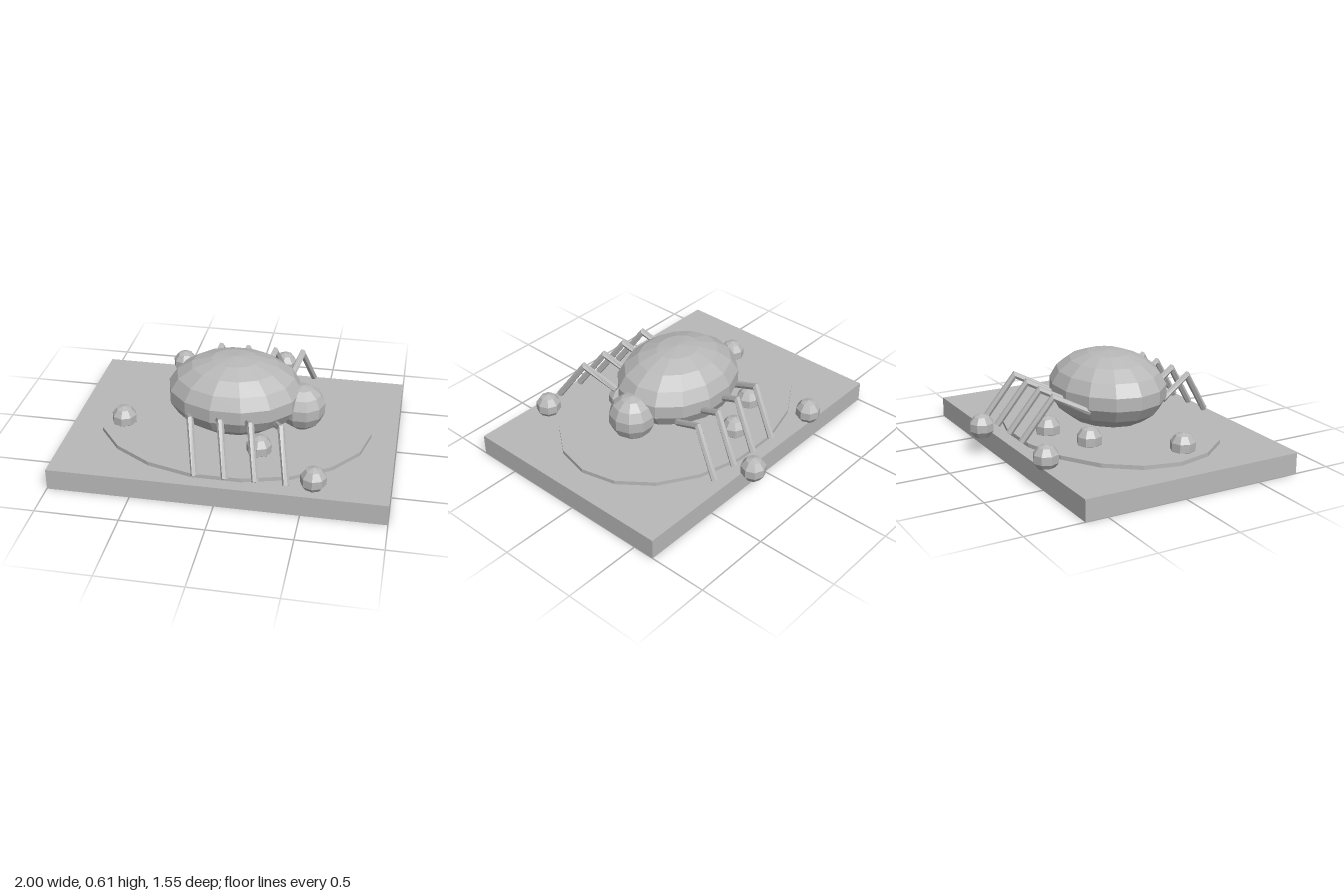
import * as THREE from 'three';

const CENTRE_Z = 0.067;
const grey = new THREE.MeshStandardMaterial({ color: 0xb8b8b8 });
grey.name = 'plain grey';

// Faceted mesh: every face gets its own normal
function part(name, geometry, parent) {
  const flat = geometry.index ? geometry.toNonIndexed() : geometry;
  flat.computeVertexNormals();
  const mesh = new THREE.Mesh(flat, grey);
  mesh.name = name;
  parent.add(mesh);
  return mesh;
}

function ellipsoid(name, radii, centre, columns, rows, parent) {
  const geometry = new THREE.SphereGeometry(1, columns, rows).scale(...radii);
  part(name, geometry, parent).position.set(...centre);
}

// Capped six-sided tube with mitred joints through the given points
function bentRod(points, radius, sides = 6) {
  const positions = [];
  const index = [];
  const last = points.length - 1;
  points.forEach((p, i) => {
    const into = p.clone().sub(points[Math.max(i - 1, 0)]).normalize();
    const out = points[Math.min(i + 1, last)].clone().sub(p).normalize();
    const along = into.add(out).normalize();
    const side = new THREE.Vector3(1, 0, 0);
    side.addScaledVector(along, -side.dot(along)).normalize();
    const up = along.clone().cross(side);
    const mitre = i > 0 && i < last ? 1.25 : 1;
    for (let k = 0; k < sides; k++) {
      const a = (k / sides) * Math.PI * 2;
      const v = p.clone()
        .addScaledVector(side, Math.cos(a) * radius)
        .addScaledVector(up, Math.sin(a) * radius * mitre);
      positions.push(v.x, v.y, v.z);
      if (i < last) {
        const A = i * sides + k;
        const B = i * sides + ((k + 1) % sides);
        index.push(A, B, B + sides, A, B + sides, A + sides);
      }
    }
  });
  // End caps
  const end = last * sides;
  for (let k = 1; k < sides - 1; k++) {
    index.push(0, k + 1, k, end, end + k, end + k + 1);
  }
  const geometry = new THREE.BufferGeometry();
  geometry.setAttribute('position', new THREE.Float32BufferAttribute(positions, 3));
  geometry.setIndex(index);
  return geometry;
}

export function createModel() {
  const model = new THREE.Group();
  model.name = 'beetle on a slab';

  // Slab and the low oval mound on it
  part('base', new THREE.BoxGeometry(2, 0.13, 1.41), model).position.set(0, 0.065, CENTRE_Z);
  const oval = new THREE.CylinderGeometry(1, 1, 0.035, 18, 1, false, Math.PI / 2);
  oval.scale(0.845, 1, 0.632);
  part('ovalGround', oval, model).position.set(0, 0.1375, CENTRE_Z);

  // Body and head
  ellipsoid('body', [0.42, 0.237, 0.352], [0, 0.375, CENTRE_Z], 14, 9, model);
  ellipsoid('head', [0.143, 0.145, 0.146], [0.415, 0.308, CENTRE_Z], 10, 7, model);

  // Four pairs of bent legs
  for (const side of [1, -1]) {
    const legs = new THREE.Group();
    legs.name = side > 0 ? 'frontLegs' : 'backLegs';
    for (let i = 0; i < 4; i++) {
      const x = -0.24 + i * 0.177;
      const points = [
        [x, 0.315, 0.255],
        [x + 0.06, 0.425, 0.47],
        [x + 0.12, 0.16, 0.65],
      ].map(([px, y, z]) => new THREE.Vector3(px, y, CENTRE_Z + side * z));
      part('leg', bentRod(points, 0.021), legs);
    }
    model.add(legs);
  }

  // Scattered pebbles
  const pebbles = [
    [-0.47, -0.6], [0.2, -0.7], [-0.325, -0.24], [-0.03, -0.365],
    [-0.68, 0.185], [0.2, 0.377], [0.56, 0.66],
  ];
  for (const [x, z] of pebbles) {
    ellipsoid('pebble', [0.08, 0.08, 0.08], [x, 0.182, z], 8, 5, model);
  }
  return model;
}
